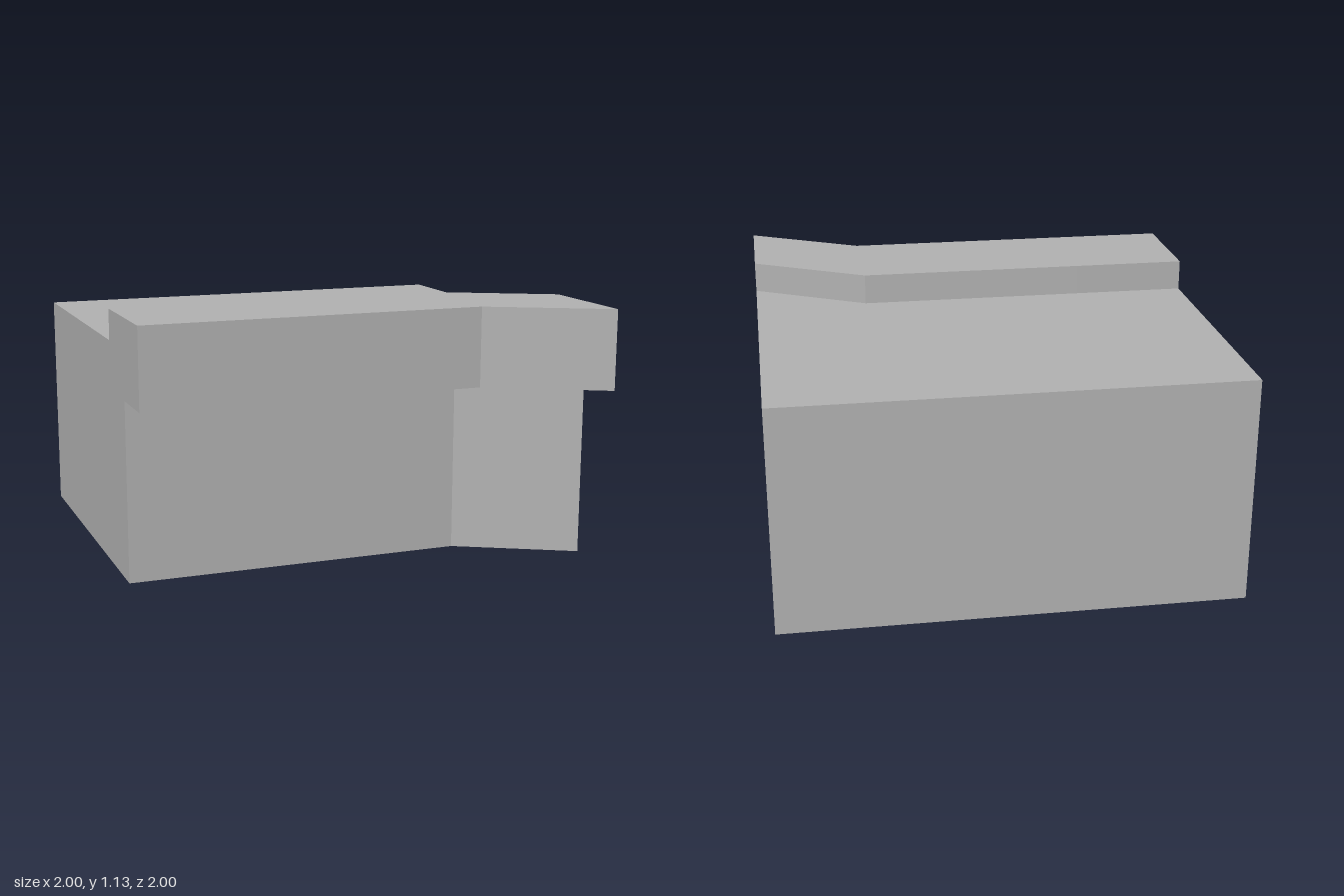
import * as THREE from 'three';

export function createModel() {
  const group = new THREE.Group();
  const stone = new THREE.MeshStandardMaterial({ color: 0xb2b2b2 });
  stone.name = 'light grey';

  // Side section as [z, y]: block with an overhanging raised lip at the front
  const section = [
    [-1, 0], [0.48, 0], [0.48, 0.785], [0.73, 0.785],
    [0.73, 1.135], [0.23, 1.135], [0.23, 1], [-1, 1],
  ];
  const shape = new THREE.Shape(section.map(([z, y]) => new THREE.Vector2(-z, y)));

  // Sweep across x, with a station at x = 0.5 where the front bends
  const geometry = new THREE.ExtrudeGeometry(shape, { depth: 2, steps: 4, bevelEnabled: false });
  geometry.rotateY(Math.PI / 2).translate(-1, 0, 0);

  // Slant the front and lip forward over the last quarter; the back stays straight
  const pos = geometry.attributes.position;
  for (let i = 0; i < pos.count; i++) {
    const x = pos.getX(i), z = pos.getZ(i);
    if (z > -0.99) pos.setZ(i, z + 0.27 * Math.max(0, (x - 0.5) / 0.5));
  }
  geometry.computeVertexNormals();

  const block = new THREE.Mesh(geometry, stone);
  block.name = 'blockWithLedge';
  group.add(block);
  return group;
}
